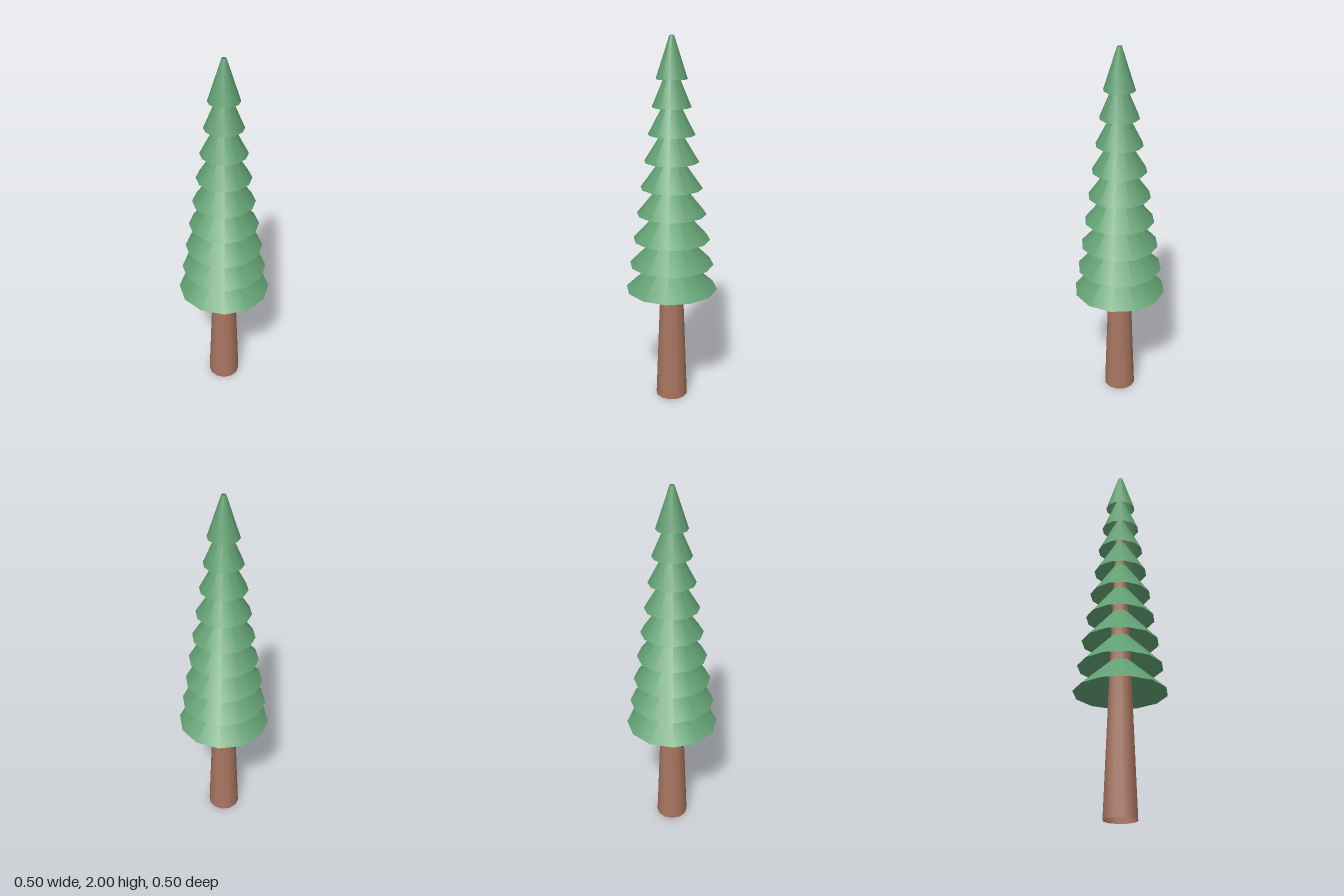
import * as THREE from 'three';

const SIDES = 12;
const TIERS = 9;

export function createModel() {
  const tree = new THREE.Group();
  tree.name = 'pineTree';

  const needles = new THREE.MeshStandardMaterial({ color: 0x629f72, side: THREE.DoubleSide });
  needles.name = 'needle green';
  const bark = new THREE.MeshStandardMaterial({ color: 0xa87560, side: THREE.DoubleSide });
  bark.name = 'bark brown';

  // Open, tapering shell standing on height y
  const shell = (name, material, topRadius, bottomRadius, height, y) => {
    const geometry = new THREE.CylinderGeometry(topRadius, bottomRadius, height, SIDES, 1, true);
    geometry.translate(0, height / 2, 0);
    const mesh = new THREE.Mesh(geometry, material);
    mesh.name = name;
    mesh.position.y = y;
    tree.add(mesh);
  };

  // Trunk, running up inside the foliage
  shell('trunk', bark, 0.0125, 0.0875, 1.95, 0);

  // Hollow skirts of foliage, shrinking evenly towards the tip
  for (let i = 0; i < TIERS; i++) {
    const t = i / (TIERS - 1);
    const radius = THREE.MathUtils.lerp(0.25, 0.082, t);
    const y = THREE.MathUtils.lerp(0.65, 1.785, t);
    shell(`foliageTier${i + 1}`, needles, 0.012, radius, 0.215, y);
  }

  return tree;
}
